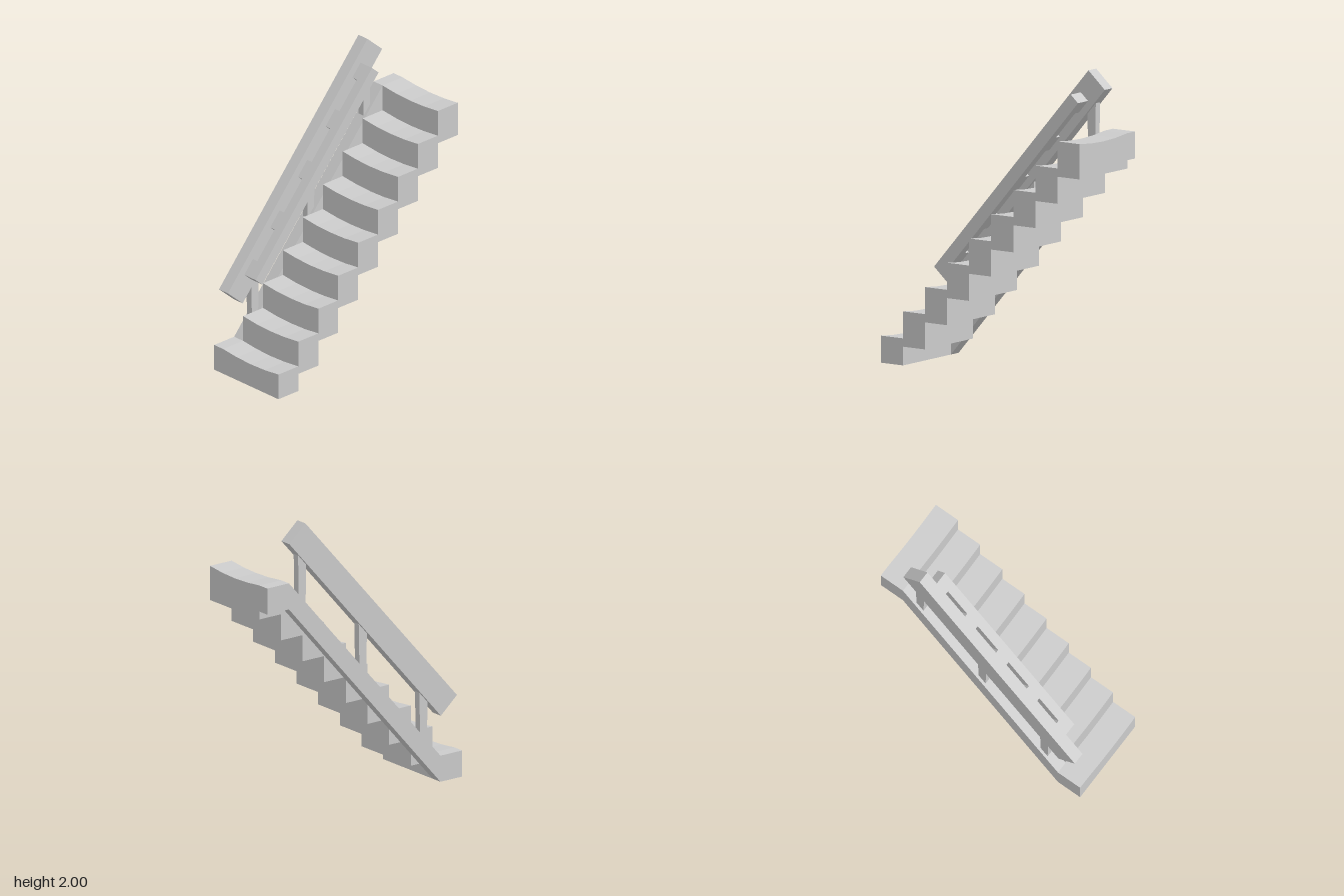
import * as THREE from 'three';

const grey = new THREE.MeshStandardMaterial({ color: 0xcccccc, flatShading: true });

const RUN = 0.1795;            // depth and rise of one step
const HALF = RUN * 4.5;        // half the length of the flight
const X0 = -0.305, X1 = -0.22, X2 = 0.305; // outer side, stringer / tread joint, far side
const PITCH = [-0.66, 0.7513]; // slope of the rails in (z, y)
const STEPS = 9;

export function createModel() {
  const group = new THREE.Group();

  const add = (name, geometry) => {
    const mesh = new THREE.Mesh(geometry, grey);
    mesh.name = name;
    group.add(mesh);
    return mesh;
  };

  const shapeOf = (pts) => new THREE.Shape(pts.map(([a, b]) => new THREE.Vector2(a, b)));

  // Side outline in (z, y), extruded from xa to xb
  const sidePanel = (name, pts, xa, xb) => {
    const g = new THREE.ExtrudeGeometry(shapeOf(pts), { depth: xb - xa, bevelEnabled: false });
    g.rotateY(-Math.PI / 2).translate(xb, 0, 0);
    return add(name, g);
  };

  // Sloping bar from distance s0 to s1 along the pitch, below its upper front corner
  const slopingBar = (name, [z, y], s0, s1, thick, xa, xb) => {
    const [dz, dy] = PITCH;
    const at = (s, t) => [z + dz * s - dy * t, y + dy * s + dz * t];
    return sidePanel(name, [at(s0, 0), at(s0, thick), at(s1, thick), at(s1, 0)], xa, xb);
  };

  // Steps with worn, sagging treads
  for (let i = 0; i < STEPS; i++) {
    const top = RUN * (i + 1);
    const bottom = i === 0 ? 0 : RUN * i - 0.055;
    const pts = [[X1, bottom], [X2, bottom]];
    for (let k = 4; k >= 0; k--) {
      const u = k / 4;
      pts.push([X1 + (X2 - X1) * u, top - 0.018 * 4 * u * (1 - u)]);
    }
    const g = new THREE.ExtrudeGeometry(shapeOf(pts), { depth: RUN, bevelEnabled: false });
    g.translate(0, 0, HALF - RUN * (i + 1));
    add('step' + (i + 1), g);
  }

  // Stringer with flat ends level with the first and last step
  const inner = HALF - RUN;
  const topY = RUN * STEPS;
  sidePanel('stringer', [
    [HALF, 0], [inner, 0], [-inner, topY - RUN], [-HALF, topY - RUN],
    [-HALF, topY], [-inner, topY], [inner, RUN], [HALF, RUN],
  ], X0, X1);

  // Wide balustrade rail
  slopingBar('balustrade', [0.765, 0.57], 0, 1.904, 0.177, X0, X1);

  // Handrail on five brackets
  const start = [0.618, 0.656];
  const railLength = 1.587;
  slopingBar('handrail', start, 0, railLength, 0.078, -0.178, -0.11);
  for (const [a, b] of [[0, 0.118], [0.354, 0.482], [0.732, 0.86], [1.11, 1.24], [1.475, railLength]]) {
    slopingBar('handrailBracket', start, a, b, 0.078, X1, -0.178);
  }

  // Tapered posts between stringer and balustrade
  for (const z of [0.503, 0, -0.503]) {
    const rise = (0.63 - z) * 1.138;
    const y0 = RUN + rise - 0.05, y1 = 0.455 + rise + 0.06;
    const g = new THREE.BoxGeometry(0.047, y1 - y0, 0.07);
    const p = g.attributes.position;
    for (let i = 0; i < p.count; i++) if (p.getY(i) < 0) p.setZ(i, p.getZ(i) * 0.78);
    g.translate(-0.2625, (y0 + y1) / 2, z);
    add('post', g);
  }

  return group;
}
